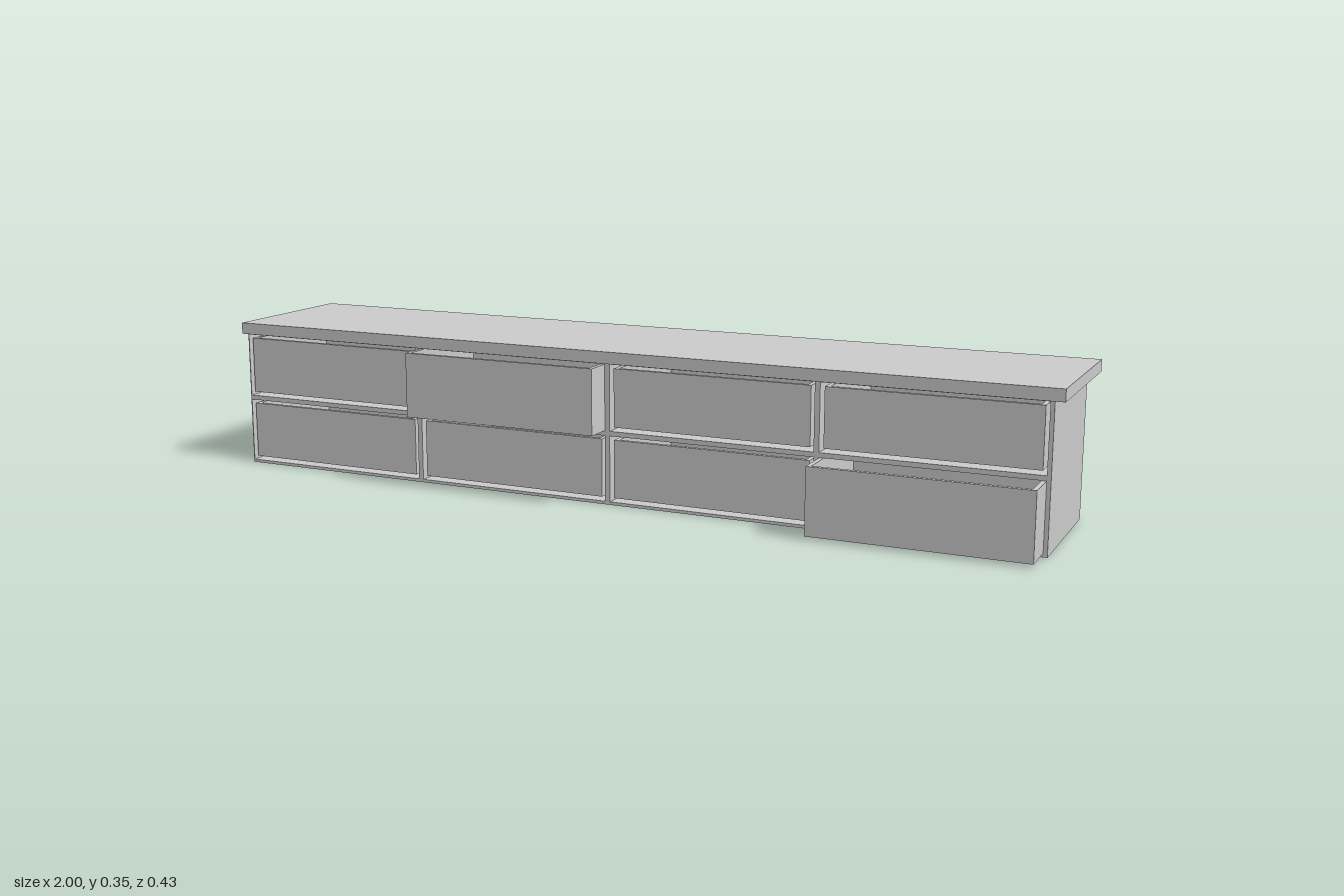
import * as THREE from 'three';

const material = new THREE.MeshStandardMaterial({ color: 0xcccccc, flatShading: true });

// Box given by its minimum and maximum corners
function box(name, [x0, y0, z0], [x1, y1, z1]) {
  const mesh = new THREE.Mesh(new THREE.BoxGeometry(x1 - x0, y1 - y0, z1 - z0), material);
  mesh.name = name;
  mesh.position.set((x0 + x1) / 2, (y0 + y1) / 2, (z0 + z1) / 2);
  return mesh;
}

function rectangle(shape, x0, y0, x1, y1) {
  shape.moveTo(x0, y0);
  shape.lineTo(x1, y0);
  shape.lineTo(x1, y1);
  shape.lineTo(x0, y1);
  shape.closePath();
  return shape;
}

const BACK = -0.195, FRONT = 0.133;
const BODY_LEFT = -1, BODY_RIGHT = 0.975, BODY_TOP = 0.327;
const CELL_W = 0.482, CELL_H = 0.152;
const cellX = (col) => -0.998 + col * 0.494;
const cellY = (row) => 0.007 + row * 0.163;

// Open-topped tray: bottom, front, back and two sides
function createDrawer(x0, y0, x1, y1, front, depth) {
  const t = 0.01, back = front - depth;
  const drawer = new THREE.Group();
  drawer.name = 'drawer';
  drawer.add(
    box('drawerFront', [x0, y0, front - t], [x1, y1, front]),
    box('drawerBack', [x0, y0, back], [x1, y1, back + t]),
    box('drawerSideRight', [x0, y0, back + t], [x0 + t, y1, front - t]),
    box('drawerSideLeft', [x1 - t, y0, back + t], [x1, y1, front - t]),
    box('drawerBottom', [x0 + t, y0, back + t], [x1 - t, y0 + t, front - t])
  );
  return drawer;
}

export function createModel() {
  const group = new THREE.Group();
  group.name = 'lowDresser';

  // Carcass with one opening for each drawer
  const outline = rectangle(new THREE.Shape(), BODY_LEFT, 0, BODY_RIGHT, BODY_TOP);
  // Fronts of the pulled-out drawers, keyed by column and row
  const pulledOut = { '1,1': 0.197, '3,0': 0.217 };

  for (let col = 0; col < 4; col++) {
    for (let row = 0; row < 2; row++) {
      const x = cellX(col), y = cellY(row);
      outline.holes.push(rectangle(new THREE.Path(), x, y, x + CELL_W, y + CELL_H));

      // Closed drawers sit inside a narrow shadow gap
      const open = pulledOut[`${col},${row}`];
      const gap = open ? 0.0005 : 0.009;
      group.add(createDrawer(
        x + gap, y + gap, x + CELL_W - gap, y + CELL_H - gap,
        open ?? FRONT - 0.003, 0.3
      ));
    }
  }

  const carcassGeometry = new THREE.ExtrudeGeometry(outline, { depth: FRONT - BACK - 0.01, bevelEnabled: false });
  const carcass = new THREE.Mesh(carcassGeometry, material);
  carcass.name = 'carcass';
  carcass.position.z = BACK + 0.01;
  group.add(carcass);

  // Back panel and overhanging top
  group.add(box('backPanel', [BODY_LEFT, 0, BACK], [BODY_RIGHT, BODY_TOP, BACK + 0.01]));
  group.add(box('top', [-1, BODY_TOP, -0.216], [1, 0.354, 0.156]));
  return group;
}
